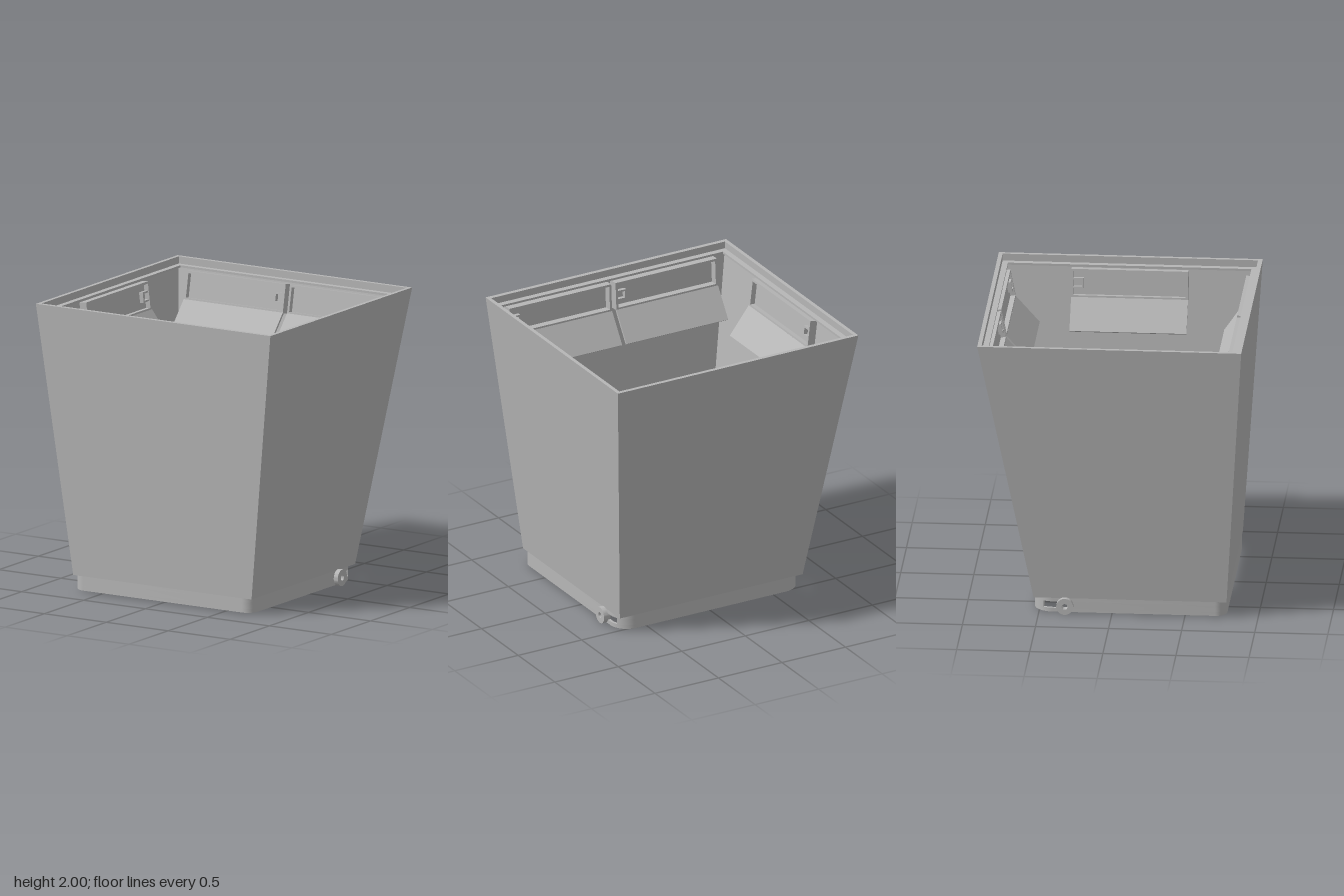
import * as THREE from 'three';
import { toCreasedNormals } from 'three/addons/utils/BufferGeometryUtils.js';

const grey = new THREE.MeshStandardMaterial({ color: 0xb6b6b6 });
grey.name = 'plain grey';

function add(parent, geometry, name) {
  const mesh = new THREE.Mesh(geometry, grey);
  mesh.name = name;
  parent.add(mesh);
  return mesh;
}

// Rectangular loops joined in order; each loop is [half width, back z, front z, y]
function loopShell(loops) {
  const pos = [];
  const corners = ([x, b, f, y]) => [[x, y, f], [x, y, b], [-x, y, b], [-x, y, f]];
  loops.forEach((loop, i) => {
    const a = corners(loop), b = corners(loops[(i + 1) % loops.length]);
    for (let k = 0; k < 4; k++) {
      const n = (k + 1) % 4;
      pos.push(...a[k], ...a[n], ...b[n], ...a[k], ...b[n], ...b[k]);
    }
  });
  const g = new THREE.BufferGeometry();
  g.setAttribute('position', new THREE.Float32BufferAttribute(pos, 3));
  g.computeVertexNormals();
  return g;
}

// Points of the rounded base outline, inset by t, as (x, -z)
function baseOutline(t) {
  const points = [];
  const corners = [[0.72, 0.535, 0.13, 0], [-0.72, 0.535, 0.13, 1], [-0.72, -0.785, 0.08, 2], [0.72, -0.785, 0.08, 3]];
  for (const [x, y, r, q] of corners) {
    const cx = x - Math.sign(x) * r, cy = y - Math.sign(y) * r;
    for (let i = 0; i <= 12; i++) {
      const a = (q + i / 12) * Math.PI / 2;
      points.push(new THREE.Vector2(cx + (r - t) * Math.cos(a), cy + (r - t) * Math.sin(a)));
    }
  }
  return points;
}

// Extrude an outline upward from y0 to y1
function slab(shape, y0, y1) {
  const g = new THREE.ExtrudeGeometry(shape, { depth: y1 - y0, bevelEnabled: false });
  g.rotateX(-Math.PI / 2);
  g.translate(0, y0, 0);
  return toCreasedNormals(g, 0.5);
}

// Rectangular frame with its front at z = 0 and its top at y = 0
function frameGeometry(w, h, depth, border) {
  const rect = (s, i) => {
    s.moveTo(-w / 2 + i, -h + i);
    s.lineTo(w / 2 - i, -h + i);
    s.lineTo(w / 2 - i, -i);
    s.lineTo(-w / 2 + i, -i);
    s.closePath();
    return s;
  };
  const shape = rect(new THREE.Shape(), 0);
  shape.holes.push(rect(new THREE.Path(), border));
  const g = new THREE.ExtrudeGeometry(shape, { depth, bevelEnabled: false });
  g.translate(0, 0, -depth);
  return g;
}

// Recessed frame with a sloping flap below and a small latch at one end
function makePanel(depth, latchSide) {
  const g = new THREE.Group();
  const w = 0.8, h = 0.2;
  add(g, frameGeometry(w, h, depth, 0.016), 'panelFrame');
  add(g, new THREE.BoxGeometry(w - 0.02, h - 0.02, 0.015), 'panelBack').position.set(0, -h / 2, -depth + 0.012);
  const latch = new THREE.Group();
  latch.name = 'latch';
  latch.position.set(latchSide * 0.35, -h / 2, -0.02);
  for (const s of [-1, 1]) {
    add(latch, new THREE.BoxGeometry(0.07, 0.012, 0.03), 'latchBar').position.y = s * 0.03;
  }
  add(latch, new THREE.BoxGeometry(0.012, 0.06, 0.03), 'latchEnd').position.x = -latchSide * 0.029;
  g.add(latch);
  const drop = 0.21, reach = 0.125;
  const flap = add(g, new THREE.BoxGeometry(w, Math.hypot(drop, reach), 0.015), 'flap');
  flap.position.set(0, -h - drop / 2, reach / 2 - 0.006);
  flap.rotation.x = -Math.atan2(reach, drop);
  return g;
}

export function createModel() {
  const model = new THREE.Group();
  model.name = 'taperedBin';

  // Tapered walls, stepped rim and inner ledge as one closed shell
  add(model, loopShell([
    [0.72, -0.535, 0.785, 0.11],
    [0.947, -0.903, 0.903, 2],
    [0.92, -0.875, 0.872, 2],
    [0.92, -0.875, 0.872, 1.95],
    [0.88, -0.835, 0.83, 1.95],
    [0.88, -0.835, 0.83, 1.935],
    [0.922, -0.873, 0.878, 1.935],
    [0.702, -0.52, 0.766, 0.11],
  ]), 'taperedWalls');

  // Rounded base band: full courses above and below a slotted middle course
  const outer = baseOutline(0), inner = baseOutline(0.019);
  const full = new THREE.Shape(outer);
  full.holes.push(new THREE.Path(inner));
  add(model, slab(full, 0.01, 0.038), 'baseBandLower');
  add(model, slab(full, 0.084, 0.112), 'baseBandUpper');

  const strip = (o, i) => new THREE.Shape([...o, ...i.reverse()]);
  const rear = outer.map((p, k) => k).filter(k => outer[k].y > 0.462);
  add(model, slab(strip(rear.map(k => outer[k]), rear.map(k => inner[k])), 0.038, 0.084), 'baseBandRear');
  const cut = x => new THREE.Vector2(x, 0.295);
  add(model, slab(strip(
    [cut(-0.72), ...outer.slice(26), cut(0.72)],
    [cut(-0.701), ...inner.slice(26), cut(0.701)]
  ), 0.038, 0.084), 'baseBandFront');

  // Round eyelets beside the slots
  const eye = new THREE.Shape().absarc(0, 0, 0.058, 0, Math.PI * 2, false);
  eye.holes.push(new THREE.Path().absarc(0, 0, 0.02, 0, Math.PI * 2, true));
  const eyeGeometry = toCreasedNormals(new THREE.ExtrudeGeometry(eye, { depth: 0.05, bevelEnabled: false, curveSegments: 24 }), 0.5);
  eyeGeometry.translate(0, 0, -0.025);
  for (const s of [-1, 1]) {
    const eyelet = add(model, eyeGeometry, s > 0 ? 'leftEyelet' : 'rightEyelet');
    eyelet.rotation.y = Math.PI / 2;
    eyelet.position.set(s * 0.728, 0.058, -0.32);
  }

  // Inner panels: name, x, z, facing angle, wall slope, depth, latch end
  const panels = [
    ['backPanelLeft', 0.417, -0.813, 0, 0.193, 0.055, 1],
    ['backPanelRight', -0.417, -0.813, 0, 0.193, 0.055, 1],
    ['frontPanelLeft', 0.417, 0.8, Math.PI, 0.063, 0.075, -1],
    ['frontPanelRight', -0.417, 0.8, Math.PI, 0.063, 0.075, -1],
    ['leftPanel', 0.859, 0, -Math.PI / 2, 0.12, 0.055, -1],
    ['rightPanel', -0.859, 0, Math.PI / 2, 0.12, 0.055, 1],
  ];
  for (const [name, x, z, turn, slope, depth, latchSide] of panels) {
    const panel = makePanel(depth, latchSide);
    panel.name = name;
    panel.position.set(x, 1.925, z);
    panel.rotation.set(-Math.atan(slope), turn, 0, 'YXZ');
    model.add(panel);
  }
  return model;
}
